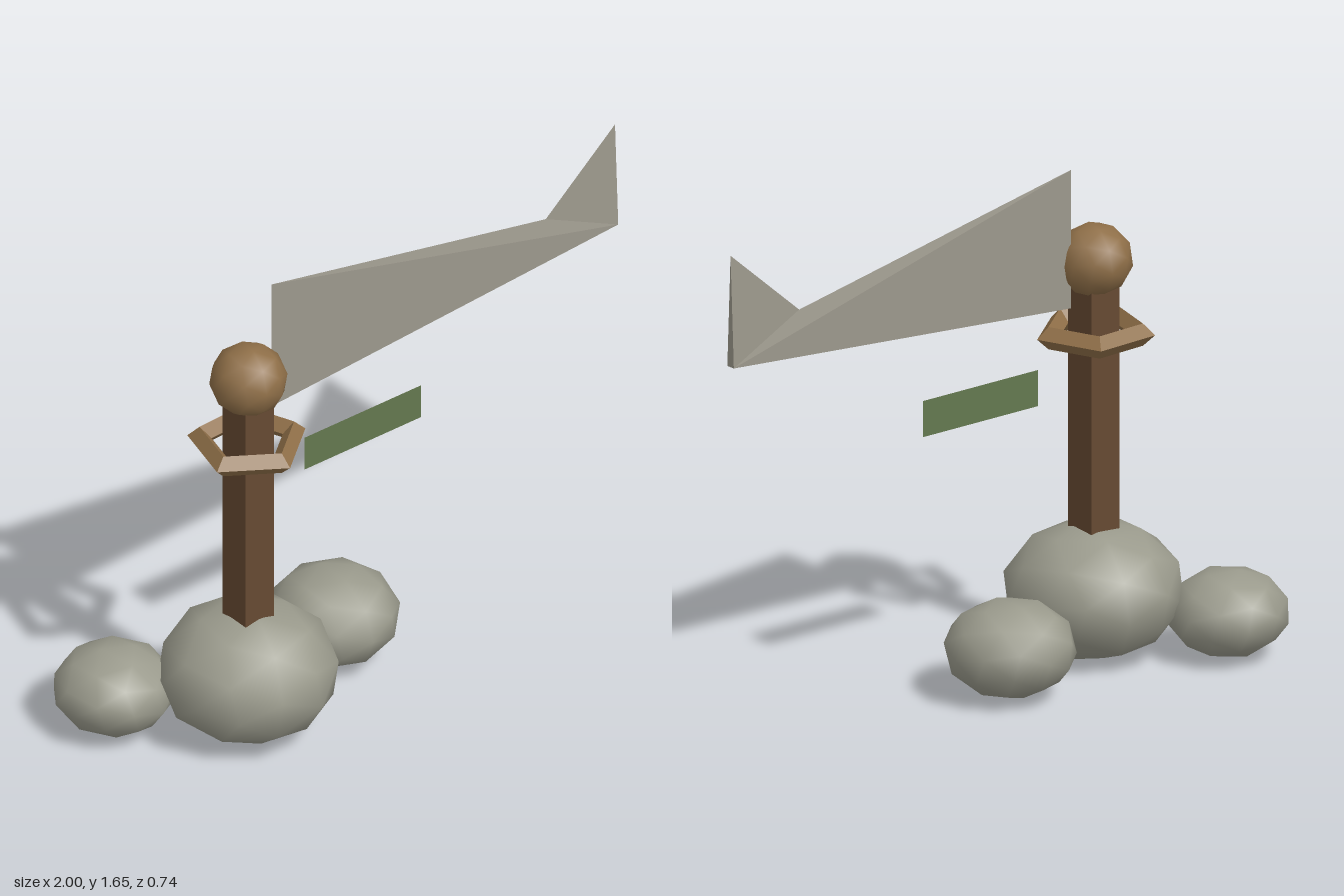
import * as THREE from 'three';

const mat = (name, color, extra = {}) => Object.assign(new THREE.MeshStandardMaterial({ color, ...extra }), { name });

export function createModel() {
  const model = new THREE.Group();
  const stone = mat('stone grey', 0x9a9a8c);
  const cloth = mat('pale grey', 0x9c988c, { flatShading: true, side: THREE.DoubleSide });
  const wood = mat('dark wood', 0x664a32, { flatShading: true });
  const tan = mat('tan wood', 0x8f6f48);
  const tanFlat = mat('tan wood faceted', 0x8f6f48, { flatShading: true });
  const green = mat('moss green', 0x64784f, { side: THREE.DoubleSide });
  const PX = -0.483, PZ = 0.088;

  const add = (name, geometry, material, x = 0, y = 0, z = 0) => {
    const mesh = new THREE.Mesh(geometry, material);
    mesh.name = name;
    mesh.position.set(x, y, z);
    model.add(mesh);
    return mesh;
  };

  // Low-poly smooth ball, turned and then squashed
  const ball = (r, ry, turn) => {
    const g = new THREE.IcosahedronGeometry(r, 1);
    g.rotateY(turn).rotateX(turn * 0.6);
    g.scale(1, ry / r, 1);
    return g;
  };

  // Base stones
  add('baseStone', ball(0.292, 0.224, 0.25), stone, PX, 0.226, PZ);
  add('rightStone', ball(0.213, 0.158, 0.5), stone, -0.022, 0.167, -0.056);
  add('leftStone', ball(0.198, 0.142, 0.8), stone, -0.804, 0.15, -0.185);

  // Post and knob
  add('post', new THREE.BoxGeometry(0.115, 1.05, 0.115), wood, PX, 0.725, PZ);
  add('knob', ball(0.125, 0.12, 0.35), tan, PX, 1.318, PZ);

  // Five-sided collar with a diamond section
  const section = [[0.196, 0], [0.157, 0.037], [0.118, 0], [0.157, -0.037], [0.196, 0]];
  const collar = new THREE.LatheGeometry(section.map(([r, y]) => new THREE.Vector2(r, y)), 5);
  add('collar', collar, tanFlat, PX, 1.078, PZ).rotation.y = 0.05;

  // Pennant: a thin wedge that thickens toward its lower outer corner
  const corners = [
    -0.39, 1.635, 0, -0.39, 1.175, 0, 0.72, 1.415, 0, 1, 1.655, 0,
    1, 1.285, 0.016, 1, 1.285, -0.016,
  ];
  const pennant = new THREE.BufferGeometry();
  pennant.setAttribute('position', new THREE.Float32BufferAttribute(corners, 3));
  pennant.setIndex([
    0, 1, 4, 0, 4, 2, 2, 4, 3, // front
    1, 0, 5, 0, 2, 5, 2, 3, 5, // back
    3, 4, 5, 1, 5, 4, // outer end and underside
  ]);
  const flat = pennant.toNonIndexed();
  flat.computeVertexNormals();
  add('pennant', flat, cloth, 0, 0, PZ);

  // Small strip below the pennant
  add('strip', new THREE.PlaneGeometry(0.47, 0.12), green, -0.02, 0.94, PZ);

  return model;
}
